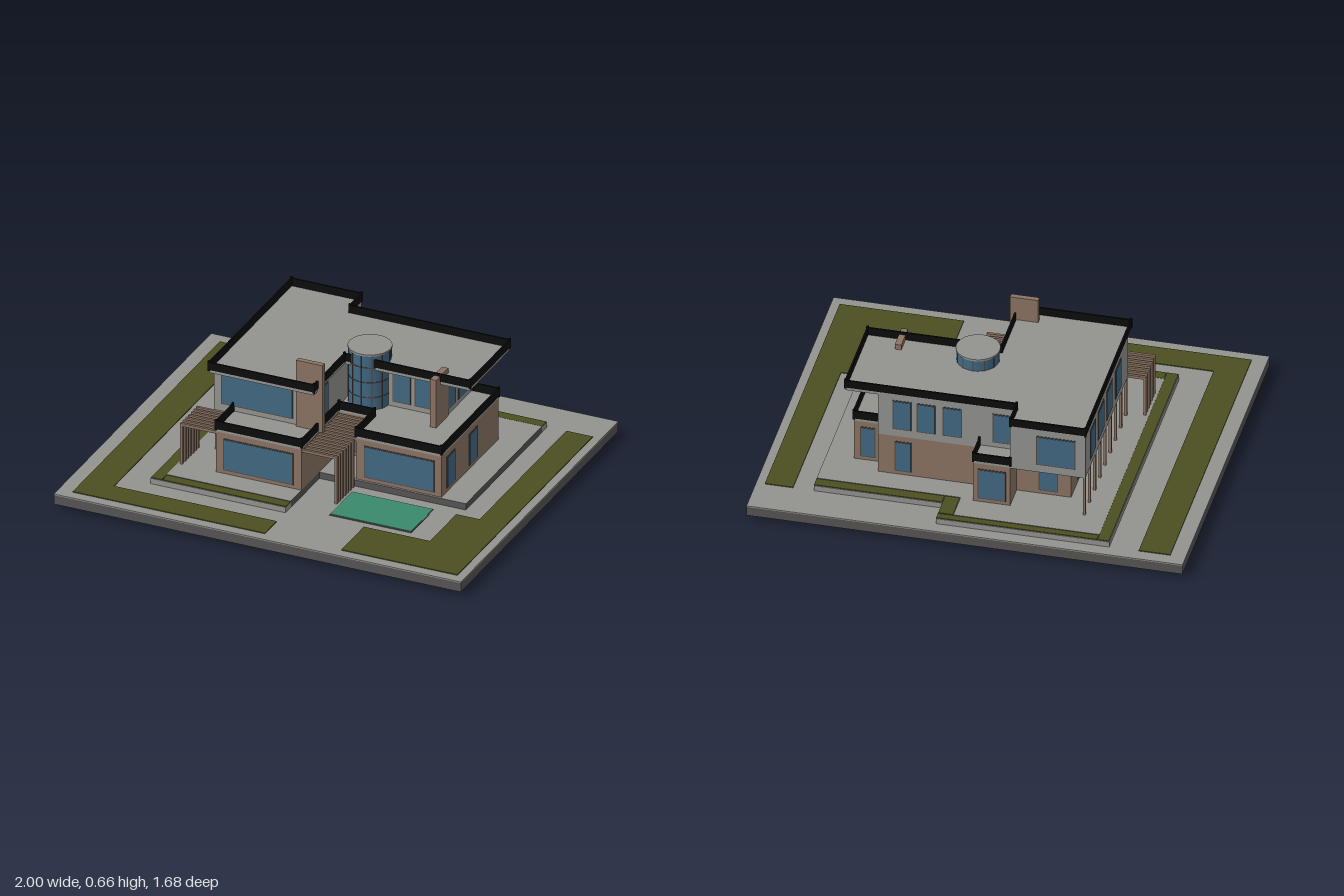
import * as THREE from 'three';

const mat = (name, color) => {
  const m = new THREE.MeshStandardMaterial({ color });
  m.name = name;
  return m;
};

export function createModel() {
  const root = new THREE.Group();
  root.name = 'house';
  const grey = mat('concrete', 0x92928f);
  const dark = mat('darkStone', 0x565353);
  const brown = mat('brownCladding', 0x8a7363);
  const frame = mat('frame', 0x54463c);
  const glass = mat('glass', 0x416883);
  const black = mat('railingBlack', 0x0b0b0b);
  const green = mat('grass', 0x4b4f20);
  const water = mat('water', 0x3a8a6c);

  // Box from its limits
  const box = (name, m, x0, x1, y0, y1, z0, z1) => {
    const b = new THREE.Mesh(new THREE.BoxGeometry(x1 - x0, y1 - y0, z1 - z0), m);
    b.position.set((x0 + x1) / 2, (y0 + y1) / 2, (z0 + z1) / 2);
    b.name = name;
    root.add(b);
    return b;
  };

  // Vertical prism over a plan of [x, z] corners
  const prism = (name, m, plan, y0, y1) => {
    const shape = new THREE.Shape(plan.map(([x, z]) => new THREE.Vector2(x, -z)));
    const g = new THREE.ExtrudeGeometry(shape, { depth: y1 - y0, bevelEnabled: false });
    g.rotateX(-Math.PI / 2);
    const p = new THREE.Mesh(g, m);
    p.position.y = y0;
    p.name = name;
    root.add(p);
  };

  // Railing along axis-aligned runs, with a slightly taller post at each corner
  const railing = (name, path, y0, y1) => {
    const t = 0.005;
    path.forEach(([x, z], i) => {
      box(name + 'Post', black, x - t, x + t, y0 - 0.005, y1 + 0.006, z - t, z + t);
      if (i === 0) return;
      const [px, pz] = path[i - 1];
      box(name, black, Math.min(x, px) - t * 0.8, Math.max(x, px) + t * 0.8, y0, y1,
        Math.min(z, pz) - t * 0.8, Math.max(z, pz) + t * 0.8);
    });
  };

  // Thin framed window; axis is the wall normal, plane its position, a0..a1 its span
  const windowPane = (axis, plane, a0, a1, y0, y1) => {
    [['windowFrame', frame, 0.005, 0.002], ['windowGlass', glass, 0, 0.004]].forEach(([n, m, g, d]) => {
      if (axis === 'z') box(n, m, a0 - g, a1 + g, y0 - g, y1 + g, plane - d, plane + d);
      else box(n, m, plane - d, plane + d, y0 - g, y1 + g, a0 - g, a1 + g);
    });
  };

  // Ground slab, lawns and pool
  box('groundSlab', dark, -1, 1, 0.025, 0.07, -0.84, 0.84);
  box('groundPaving', grey, -1, 1, 0.07, 0.076, -0.84, 0.84);
  [[-0.93, -0.785, -0.78, 0.79], [-0.785, 0.015, 0.665, 0.79], [0.83, 0.96, -0.655, 0.27],
    [0.715, 0.96, 0.27, 0.55], [0.39, 0.96, 0.55, 0.79]]
    .forEach(([a, b, c, d]) => box('lawn', green, a, b, 0.075, 0.08, c, d));
  box('poolBasin', grey, 0.2, 0.605, 0, 0.026, 0.265, 0.51);
  box('poolEdge', dark, 0.2, 0.605, 0.074, 0.078, 0.265, 0.51);
  box('poolWater', water, 0.205, 0.6, 0.075, 0.08, 0.27, 0.502);

  // Raised terrace with planters around it
  prism('terrace', [grey, dark], [[-0.595, 0.515], [0.015, 0.515], [0.015, 0.21], [0.735, 0.21],
    [0.735, -0.6], [0.075, -0.6], [0.075, -0.74], [-0.595, -0.74]], 0.075, 0.108);
  [[-0.65, -0.595, -0.78, 0.57], [-0.595, 0.145, -0.78, -0.74], [0.075, 0.145, -0.74, -0.6],
    [0.145, 0.735, -0.655, -0.6], [-0.595, 0.015, 0.515, 0.57]].forEach(([a, b, c, d]) => {
    box('planter', grey, a, b, 0.075, 0.103, c, d);
    box('planterGrass', green, a + 0.003, b, 0.102, 0.107, c + 0.003, d - 0.003);
  });

  // Ground floor
  const lower = [[-0.405, 0.4], [0.015, 0.4], [0.015, 0], [0.19, 0], [0.19, 0.2], [0.61, 0.2],
    [0.61, -0.41], [0.48, -0.41], [0.48, -0.485], [0.015, -0.485], [0.015, -0.61],
    [-0.155, -0.61], [-0.155, -0.485], [-0.405, -0.485]];
  prism('groundFloorWalls', brown, lower, 0.105, 0.312);
  prism('groundFloorRoof', grey, lower, 0.312, 0.326);
  [[0.4, -0.365, -0.03], [0.2, 0.235, 0.57], [0, 0.04, 0.17], [-0.61, -0.13, -0.01],
    [-0.485, -0.34, -0.26], [-0.485, 0.33, 0.4], [-0.41, 0.515, 0.575]]
    .forEach(([z, a, b]) => windowPane('z', z, a, b, 0.13, 0.28));
  [[0.61, 0.06, 0.14], [0.61, -0.18, -0.1], [-0.405, -0.36, -0.26], [-0.405, -0.08, 0.02]]
    .forEach(([x, a, b]) => windowPane('x', x, a, b, 0.13, 0.28));

  // Upper floor
  const upper = [[-0.5, 0.215], [0, 0.215], [0, -0.125], [0.48, -0.125], [0.48, -0.485],
    [-0.155, -0.485], [-0.155, -0.61], [-0.5, -0.61]];
  prism('upperFloorWalls', grey, upper, 0.318, 0.526);
  [[0.215, -0.46, -0.115], [-0.125, 0.225, 0.305], [-0.125, 0.335, 0.415], [-0.61, -0.45, -0.28],
    [-0.485, 0.33, 0.41], [-0.485, 0.22, 0.3], [-0.485, 0.1, 0.18], [-0.485, -0.13, -0.05]]
    .forEach(([z, a, b]) => windowPane('z', z, a, b, 0.355, 0.5));
  [[0, 0.09, 0.17], [0.48, -0.23, -0.148], [0.48, -0.345, -0.265], [-0.5, -0.52, -0.42],
    [-0.5, -0.36, -0.26], [-0.5, -0.2, -0.1], [-0.5, -0.03, 0.07]]
    .forEach(([x, a, b]) => windowPane('x', x, a, b, 0.355, 0.5));

  // Flat roof and railings
  const roof = [[-0.5, 0.27], [0.015, 0.27], [0.015, -0.06], [0.63, -0.06], [0.63, -0.485],
    [-0.155, -0.485], [-0.155, -0.61], [-0.5, -0.61]];
  prism('roof', grey, roof, 0.525, 0.541);
  railing('roofRailing', [...roof, roof[0]], 0.541, 0.579);
  railing('leftTerraceRailing', [[-0.405, 0.22], [-0.405, 0.4], [0.015, 0.4], [0.015, 0], [0.19, 0],
    [0.19, 0.2], [0.61, 0.2], [0.61, -0.41], [0.485, -0.41]], 0.326, 0.366);
  railing('balconyRailing', [[0.015, -0.49], [0.015, -0.61], [-0.155, -0.61]], 0.326, 0.366);

  // Chimney and brown fin wall
  box('chimney', brown, -0.09, 0.04, 0.32, 0.66, 0.205, 0.23);
  box('finWall', brown, 0.455, 0.485, 0.32, 0.567, -0.145, -0.015);

  // Glazed stair tower with mullions and a flat cap
  const tower = new THREE.Group();
  tower.name = 'stairTower';
  tower.position.set(0.105, 0, -0.135);
  const disc = (name, m, r, y0, y1) => {
    const c = new THREE.Mesh(new THREE.CylinderGeometry(r, r, y1 - y0, 32), m);
    c.position.y = (y0 + y1) / 2;
    c.name = name;
    tower.add(c);
  };
  disc('towerGlass', glass, 0.096, 0.32, 0.597);
  disc('towerCap', grey, 0.1, 0.597, 0.606);
  [0.385, 0.46, 0.535].forEach(y => disc('towerBand', frame, 0.098, y, y + 0.004));
  for (let i = 0; i < 12; i++) {
    const a = (i / 12) * Math.PI * 2;
    const bar = new THREE.Mesh(new THREE.BoxGeometry(0.004, 0.277, 0.004), frame);
    bar.position.set(Math.sin(a) * 0.096, 0.4585, Math.cos(a) * 0.096);
    bar.rotation.y = a;
    bar.name = 'towerMullion';
    tower.add(bar);
  }
  root.add(tower);

  // Pergolas: entrance slats, front posts, and the left side frames
  for (let i = 0; i < 14; i++) {
    const z = 0.394 - i * 0.0285;
    box('entranceSlat', brown, 0.018, 0.19, 0.3, 0.314, z - 0.006, z + 0.006);
    if (i >= 7) continue;
    box('entrancePost', brown, 0.177, 0.19, 0.075, 0.302, z - 0.006, z + 0.006);
    box('sideSlat', brown, -0.582, -0.405, 0.3, 0.314, z - 0.006, z + 0.006);
    box('sidePost', brown, -0.582, -0.57, 0.105, 0.302, z - 0.006, z + 0.006);
  }

  // Posts and floor under the left overhang
  prism('overhangFloor', grey, [[-0.5, 0.215], [-0.4, 0.215], [-0.4, -0.48], [-0.155, -0.48],
    [-0.155, -0.61], [-0.5, -0.61]], 0.31, 0.322);
  for (let i = 0; i < 9; i++) {
    const z = -0.6 + i * 0.1;
    box('overhangPost', brown, -0.499, -0.487, 0.105, 0.312, z - 0.006, z + 0.006);
  }
  return root;
}
